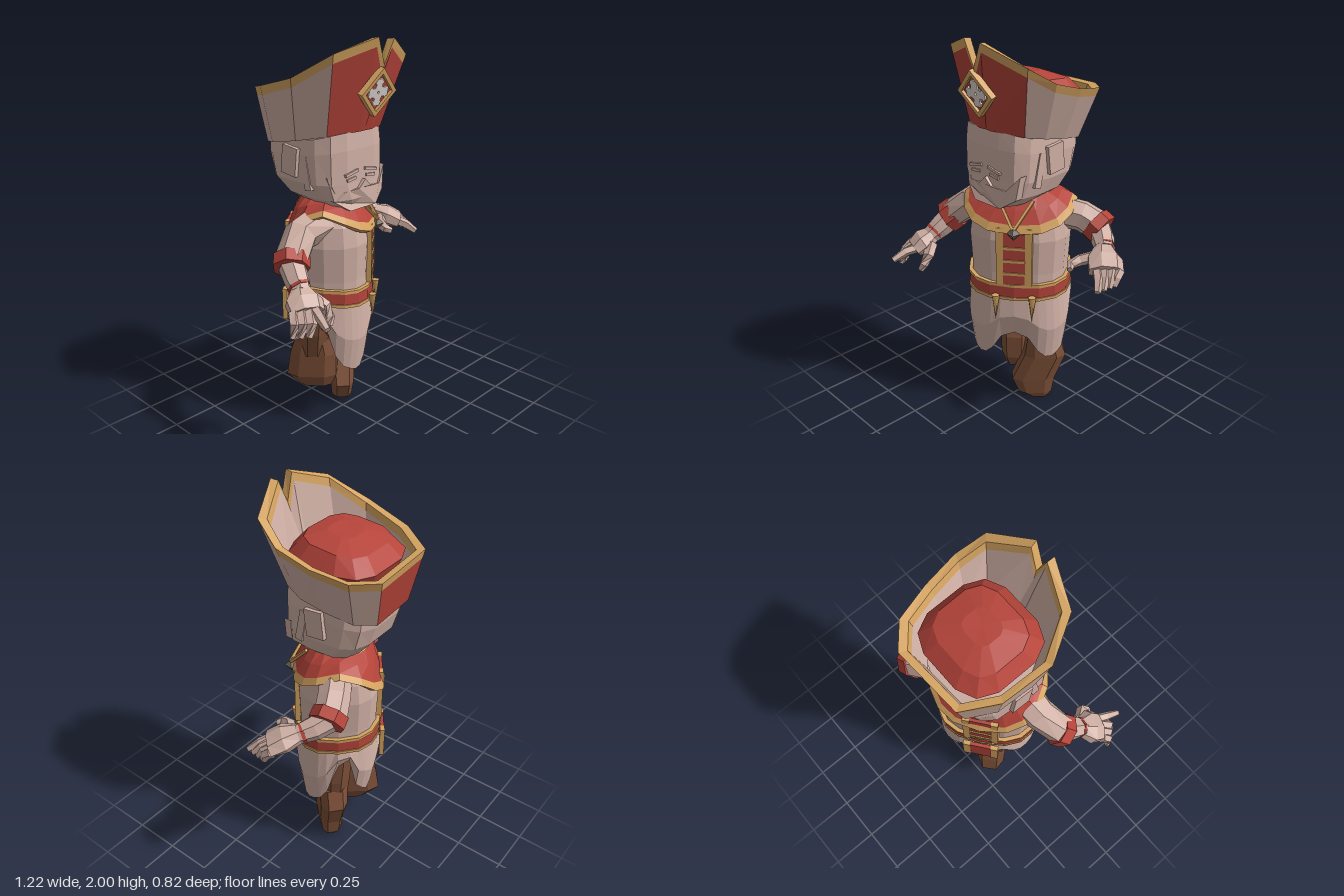
import * as THREE from 'three';

const paint = (name, color) => new THREE.MeshStandardMaterial({ name, color, side: THREE.DoubleSide });
const V = (x, y, z) => new THREE.Vector3(x, y, z);

export function createModel() {
  const cloth = paint('pale cloth', 0xd0b0a5), red = paint('red cloth', 0xb5443a);
  const gold = paint('gold trim', 0xd6a461), brown = paint('brown leather', 0x7d5038);
  const silver = paint('silver', 0xe0d6d0), iron = paint('dark metal', 0x75675c);
  const root = new THREE.Group();

  const add = (parent, name, geo, mat, x = 0, y = 0, z = 0) => {
    const m = new THREE.Mesh(geo, mat);
    m.name = name;
    m.position.set(x, y, z);
    parent.add(m);
    return m;
  };
  const box = (parent, name, mat, w, h, d, x, y, z) => add(parent, name, new THREE.BoxGeometry(w, h, d), mat, x, y, z);
  const group = (name, x, y, z, turn = 0) => {
    const g = new THREE.Group();
    g.name = name;
    g.position.set(x, y, z);
    g.rotation.y = turn;
    root.add(g);
    return g;
  };

  // Faceted skin over a list of rings; pick chooses which sides to build
  const loft = (parent, name, mat, rings, caps = true, pick = () => true) => {
    const p = [], n = rings[0].length;
    for (let r = 0; r + 1 < rings.length; r++) for (let i = 0; i < n; i++) {
      if (!pick(i)) continue;
      const j = (i + 1) % n, a = rings[r], b = rings[r + 1];
      p.push(a[i], b[j], a[j], a[i], b[i], b[j]);
    }
    if (caps) for (const [ring, flip] of [[rings[0], false], [rings[rings.length - 1], true]]) {
      const c = ring.reduce((s, v) => s.add(v), V(0, 0, 0)).divideScalar(n);
      for (let i = 0; i < n; i++) {
        const j = (i + 1) % n;
        p.push(c, ring[flip ? j : i], ring[flip ? i : j]);
      }
    }
    const g = new THREE.BufferGeometry().setFromPoints(p);
    g.computeVertexNormals();
    return add(parent, name, g, mat);
  };

  // Level ring, squared off by exponent e; y may depend on the angle
  const ring = (x, y, z, rx, rz, n = 16, e = 0.78, turn = 0) => Array.from({ length: n }, (_, i) => {
    const t = (i / n) * Math.PI * 2 + turn, c = Math.cos(t), s = Math.sin(t);
    const yy = typeof y === 'function' ? y(t) : y;
    return V(x + Math.sign(c) * Math.abs(c) ** e * rx, yy, z + Math.sign(s) * Math.abs(s) ** e * rz);
  });
  const stack = (parent, name, mat, rows, n, e, caps, turn) =>
    loft(parent, name, mat, rows.map(r => ring(...r, n, e, turn)), caps);

  // Limb along a path of [x, y, z, half width, half height]
  const limb = (name, mat, rows, n = 7) => {
    const pts = rows.map(r => V(r[0], r[1], r[2]));
    const rings = rows.map((r, k) => {
      const T = pts[Math.min(k + 1, pts.length - 1)].clone().sub(pts[Math.max(k - 1, 0)]).normalize();
      const U = V(0, 1, 0).cross(T).normalize(), W = T.clone().cross(U);
      return Array.from({ length: n }, (_, i) => {
        const t = (i / n) * Math.PI * 2;
        return pts[k].clone().addScaledVector(U, Math.cos(t) * r[3]).addScaledVector(W, Math.sin(t) * (r[4] ?? r[3]));
      });
    });
    return loft(root, name, mat, rings);
  };

  // ---- Body, turned towards its left ----
  const body = group('body', -0.018, 0, -0.07, 0.65);
  stack(body, 'torso', cloth, [[0, 0.7, 0, 0.25, 0.205], [0, 0.82, 0, 0.25, 0.202], [0, 1.0, 0, 0.26, 0.208],
    [0, 1.1, 0, 0.245, 0.19], [0, 1.17, 0, 0.2, 0.145], [0, 1.22, 0, 0.1, 0.1]]);
  const belt = (name, mat, y0, y1, k) => {
    const rows = [[y0, 0.95], [y0, k], [y1, k], [y1, 0.95]];
    loft(body, name, mat, rows.map(([y, f]) => ring(0, t => y - 0.02 * Math.sin(t), 0, 0.255 * f, 0.21 * f)), false);
  };
  belt('belt', red, 0.715, 0.775, 1.04);
  belt('beltLowerTrim', gold, 0.7, 0.716, 1.06);
  belt('beltUpperTrim', gold, 0.774, 0.79, 1.06);

  // Vertical bands with rungs, front and back
  for (const s of [1, -1]) {
    const side = s > 0 ? 'front' : 'back';
    box(body, side + 'Band', red, 0.11, 0.31, 0.03, 0, 0.925, s * 0.202);
    for (const x of [-0.073, 0.073]) box(body, side + 'BandTrim', gold, 0.036, 0.31, 0.036, x, 0.925, s * 0.202);
    for (const y of [0.83, 0.9, 0.97]) box(body, side + 'Rung', gold, 0.11, 0.014, 0.04, 0, y, s * 0.203);
  }
  box(body, 'backPanel', red, 0.115, 0.17, 0.02, 0, 0.625, -0.23);
  for (const x of [-0.075, 0.075]) {
    box(body, 'backPanelTrim', gold, 0.04, 0.17, 0.025, x, 0.625, -0.23);
    add(body, 'tassel', new THREE.ConeGeometry(0.022, 0.14, 5).toNonIndexed(), gold, x * 1.25, 0.64, 0.228).rotation.x = Math.PI;
  }

  // Skirt slit in front and at both sides, with an uneven hem
  const hem = [0.48, 0.45, 0.37, 0.33, 0.325, 0.34, 0.36, 0.42, 0.6, 0.64, 0.46, 0.42, 0.39, 0.42, 0.5, 0.55, 0.55];
  const hemAt = t => {
    const shortSide = Math.cos(t) < -0.3 && Math.sin(t) < -0.3 ? 0.08 : 0;
    return shortSide + hem[Math.round(Math.abs(Math.atan2(Math.cos(t), Math.sin(t))) / Math.PI * 16)];
  };
  loft(body, 'skirt', cloth, [ring(0, 0.72, 0, 0.248, 0.205, 32), ring(0, t => 0.324 + 0.55 * hemAt(t), 0, 0.27, 0.222, 32),
    ring(0, hemAt, 0, 0.252, 0.198, 32)], false);
  stack(body, 'underclothes', red, [[0, 0.7, 0, 0.2, 0.17], [0, 0.52, 0, 0.16, 0.13], [0, 0.44, 0, 0.08, 0.08]], 10);

  // Yoke high on the shoulders, pointed in front and hanging lower behind
  const drape = (top, front, back) => t => {
    const s = Math.sin(t);
    return top - (s > 0 ? front * s ** 1.1 : back * (-s) ** 1.5);
  };
  const yoke = [ring(0, 1.235, 0, 0.13, 0.13), ring(0, drape(1.22, 0.06, 0.07), 0, 0.21, 0.18),
    ring(0, drape(1.2, 0.105, 0.165), 0, 0.265, 0.218), ring(0, drape(1.178, 0.125, 0.185), 0, 0.29, 0.234),
    ring(0, drape(1.163, 0.125, 0.185), 0, 0.265, 0.205)];
  loft(body, 'yoke', red, yoke.slice(0, 3), false);
  loft(body, 'yokeTrim', gold, yoke.slice(2), false);
  loft(body, 'neckTrim', gold, [ring(0, 1.245, 0, 0.12, 0.12), ring(0, 1.225, 0, 0.16, 0.15)], false);
  for (const s of [1, -1]) {
    const m = box(body, 'necklineTrim', gold, 0.014, 0.17, 0.014, s * 0.045, 1.145, 0.2);
    m.rotation.set(-0.6, 0, -s * 0.5);
  }
  add(body, 'medallion', new THREE.OctahedronGeometry(0.034), iron, 0, 1.06, 0.238);

  // ---- Legs, and boots turned apart from each other ----
  const q = Math.PI / 8;
  stack(root, 'leftLeg', brown, [[0.11, 0.66, -0.17, 0.075, 0.07], [0.11, 0.45, -0.14, 0.08, 0.085], [0.1, 0.3, -0.13, 0.07, 0.075]], 8, 0.8, true, q);
  stack(group('leftFoot', 0.085, 0, -0.1, -0.7), 'leftBoot', brown, [[0, 0.38, -0.03, 0.08, 0.09], [0, 0.27, -0.04, 0.078, 0.118],
    [0, 0.12, 0.022, 0.068, 0.122], [0, 0.03, 0.01, 0.058, 0.095], [0, 0, -0.01, 0.048, 0.055]], 8, 0.7, true, q);
  stack(root, 'rightLeg', brown, [[-0.14, 0.66, -0.06, 0.075, 0.08], [-0.135, 0.48, -0.09, 0.08, 0.085], [-0.11, 0.34, -0.12, 0.08, 0.08]], 8, 0.8, true, q);
  stack(group('rightFoot', -0.1, 0, -0.12, 0.7), 'rightBoot', brown, [[0, 0.43, 0, 0.085, 0.1], [0, 0.34, 0, 0.085, 0.13],
    [0, 0.21, -0.01, 0.08, 0.14], [0, 0.145, 0.01, 0.055, 0.09]], 8, 0.7, true, q);

  // ---- Arms ----
  limb('leftSleeve', cloth, [[0.14, 1.11, -0.17, 0.08, 0.085], [0.25, 1.09, -0.24, 0.08], [0.33, 1.045, -0.28, 0.08]]);
  limb('leftCuff', red, [[0.305, 1.06, -0.27, 0.09], [0.355, 1.03, -0.28, 0.09]]);
  limb('leftForearm', cloth, [[0.33, 1.04, -0.275, 0.065], [0.39, 1.01, -0.24, 0.06], [0.45, 0.985, -0.19, 0.048]]);
  limb('leftBracelet', red, [[0.43, 0.992, -0.21, 0.053], [0.442, 0.988, -0.2, 0.053]]);
  limb('leftHand', cloth, [[0.44, 0.985, -0.19, 0.052, 0.045], [0.49, 0.963, -0.14, 0.088, 0.058], [0.54, 0.933, -0.09, 0.088, 0.045]]);
  for (let i = 0; i < 4; i++) limb('leftFinger', cloth, [[0.5 + i * 0.028, 0.94, -0.075 - i * 0.022, 0.027],
    [0.545 + i * 0.015, 0.915, -0.035 - i * 0.025, 0.026], [0.58 + i * 0.004, 0.875, 0.01 - i * 0.035, 0.017]], 5);
  limb('leftThumb', cloth, [[0.44, 0.965, -0.14, 0.034], [0.385, 0.945, -0.08, 0.03], [0.37, 0.93, -0.03, 0.024], [0.39, 0.92, -0.005, 0.016]], 5);

  limb('rightSleeve', cloth, [[-0.17, 1.11, 0.01, 0.1, 0.09], [-0.3, 1.08, 0.01, 0.085], [-0.41, 0.99, 0.06, 0.08]]);
  limb('rightCuff', red, [[-0.395, 1.0, 0.045, 0.09], [-0.43, 0.962, 0.08, 0.09]]);
  limb('rightForearm', cloth, [[-0.41, 0.98, 0.06, 0.068], [-0.44, 0.92, 0.13, 0.06], [-0.46, 0.88, 0.18, 0.048]]);
  limb('rightBracelet', red, [[-0.449, 0.905, 0.152, 0.056], [-0.452, 0.896, 0.163, 0.055]]);
  limb('rightHand', cloth, [[-0.455, 0.885, 0.17, 0.052, 0.045], [-0.48, 0.855, 0.215, 0.092, 0.06], [-0.5, 0.82, 0.26, 0.085, 0.045]]);
  limb('rightIndexFinger', cloth, [[-0.46, 0.835, 0.255, 0.027], [-0.49, 0.82, 0.33, 0.025], [-0.51, 0.785, 0.4, 0.017]], 5);
  for (let i = 0; i < 3; i++) limb('rightFinger', cloth, [[-0.49 - i * 0.035, 0.83, 0.26 - i * 0.015, 0.027],
    [-0.53 - i * 0.025, 0.79, 0.32 - i * 0.028, 0.026], [-0.545 - i * 0.022, 0.735 - i * 0.005, 0.32 - i * 0.03, 0.018]], 5);
  limb('rightThumb', cloth, [[-0.42, 0.85, 0.21, 0.034], [-0.38, 0.81, 0.26, 0.03], [-0.385, 0.77, 0.29, 0.024], [-0.4, 0.735, 0.3, 0.016]], 5);

  // ---- Head ----
  stack(root, 'neck', cloth, [[-0.02, 1.18, -0.08, 0.1, 0.1], [-0.025, 1.28, -0.08, 0.12, 0.13]], 8, 0.9, false);
  stack(root, 'head', cloth, [[-0.02, 1.19, 0.02, 0.13, 0.11], [-0.025, 1.24, -0.04, 0.19, 0.2], [-0.035, 1.32, -0.075, 0.225, 0.23],
    [-0.035, t => 1.45 + 0.03 * Math.sin(t), -0.09, 0.228, 0.245], [-0.035, t => 1.515 + 0.05 * Math.sin(t), -0.095, 0.222, 0.243]], 14, 0.6);
  // Beard wrapped around the jaw
  const jaw = [[-0.22, 1.36], [-0.15, 1.28], [-0.06, 1.29], [-0.02, 1.33], [0.02, 1.29], [0.1, 1.28], [0.17, 1.36], [0.15, 1.24], [0.07, 1.185], [-0.11, 1.185], [-0.19, 1.24]];
  const beard = new THREE.ExtrudeGeometry(new THREE.Shape(jaw.map(p => new THREE.Vector2(...p))), { depth: 0.07, bevelEnabled: false });
  const bp = beard.attributes.position;
  for (let i = 0; i < bp.count; i++) bp.setZ(i, bp.getZ(i) - 1.5 * (bp.getX(i) + 0.02) ** 2);
  beard.computeVertexNormals();
  add(root, 'beard', beard, cloth, 0, 0, 0.1);
  for (const s of [1, -1]) {
    box(root, 'brow', cloth, 0.085, 0.014, 0.02, -0.035 + s * 0.065, 1.37, 0.15).rotation.z = -s * 0.2;
    box(root, 'eyelid', cloth, 0.06, 0.014, 0.016, -0.035 + s * 0.065, 1.34, 0.15).rotation.z = -s * 0.12;
    box(root, 'ear', cloth, 0.035, 0.14, 0.1, -0.035 + s * 0.225, 1.42, -0.09).rotation.x = 0.12;
    box(root, 'sideburn', cloth, 0.025, 0.17, 0.04, -0.033 + s * 0.21, 1.37, 0.0).rotation.x = -0.2;
  }

  // ---- Tall flared hat with a notch in front ----
  const rim = [[0.01, 1.87, 0.25], [0.065, 1.985, 0.26], [0.265, 1.89, 0.165], [0.31, 1.81, 0.03], [0.3, 1.76, -0.145], [0.26, 1.73, -0.32],
    [0.15, 1.72, -0.415], [-0.21, 1.73, -0.4], [-0.31, 1.76, -0.24], [-0.335, 1.82, 0], [-0.24, 1.93, 0.175], [-0.04, 1.995, 0.26]].map(p => V(...p));
  const base = rim.map(p => {
    const z = -0.095 + (p.z + 0.075) * 0.77;
    return V(-0.035 + (p.x + 0.01) * 0.75, 1.53 + 0.2 * z, z);
  });
  const inward = (pts, k, dy) => pts.map(p => V(-0.015 + (p.x + 0.015) * k, p.y + dy, -0.085 + (p.z + 0.085) * k));
  const edge = rim.map((p, i) => p.clone().lerp(base[i], 0.045 / p.distanceTo(base[i])));
  const lip = inward(rim, 0.89, -0.005), lining = inward(edge, 0.89, 0), floor = inward(base, 0.92, 0.08);
  const isRed = i => [0, 1, 6, 10, 11].includes(i);
  loft(root, 'hatPanels', red, [base, edge], false, isRed);
  loft(root, 'hatSides', cloth, [base, edge], false, i => !isRed(i));
  loft(root, 'hatTrim', gold, [edge, rim, lip, lining], false);
  loft(root, 'hatLining', cloth, [lining, floor], false);
  loft(root, 'hatUnderside', cloth, [base, inward(base, 0.85, 0)], false);
  // Soft squarish crown inside the hat, sloping down behind
  const slope = (y, k) => t => y + k * Math.sin(t);
  stack(root, 'hatCrown', red, [[-0.025, 1.63, -0.11, 0.2, 0.2], [-0.02, slope(1.715, 0.015), -0.11, 0.238, 0.23],
    [-0.02, slope(1.785, 0.02), -0.11, 0.185, 0.165], [-0.02, slope(1.812, 0.008), -0.1, 0.08, 0.07]], 12, 0.62, true, Math.PI / 12);

  // Diamond badge
  const badge = group('hatBadge', -0.005, 1.75, 0.208);
  badge.rotation.x = 0.23;
  const poly = pts => new THREE.Shape(pts.map(p => new THREE.Vector2(...p)));
  const diamond = r => [[r, 0], [0, r], [-r, 0], [0, -r]];
  const frame = poly(diamond(0.118));
  frame.holes.push(poly(diamond(0.09)));
  const slab = depth => ({ depth, bevelEnabled: false });
  add(badge, 'badgeFrame', new THREE.ExtrudeGeometry(frame, slab(0.03)), gold);
  add(badge, 'badgeField', new THREE.ExtrudeGeometry(poly(diamond(0.092)), slab(0.015)), red);
  // Cross with flared arms
  const arm = [[0.02, 0.02], [0.02, 0.04], [0.028, 0.046], [0.018, 0.064], [-0.018, 0.064], [-0.028, 0.046], [-0.02, 0.04]];
  const cross = [0, 1, 2, 3].flatMap(k => arm.map(([x, y]) => {
    const c = Math.round(Math.cos(k * Math.PI / 2)), s = Math.round(Math.sin(k * Math.PI / 2));
    return [x * c + y * s, y * c - x * s];
  }));
  add(badge, 'badgeCross', new THREE.ExtrudeGeometry(poly(cross), slab(0.008)), silver, 0, 0, 0.015);

  return root;
}
